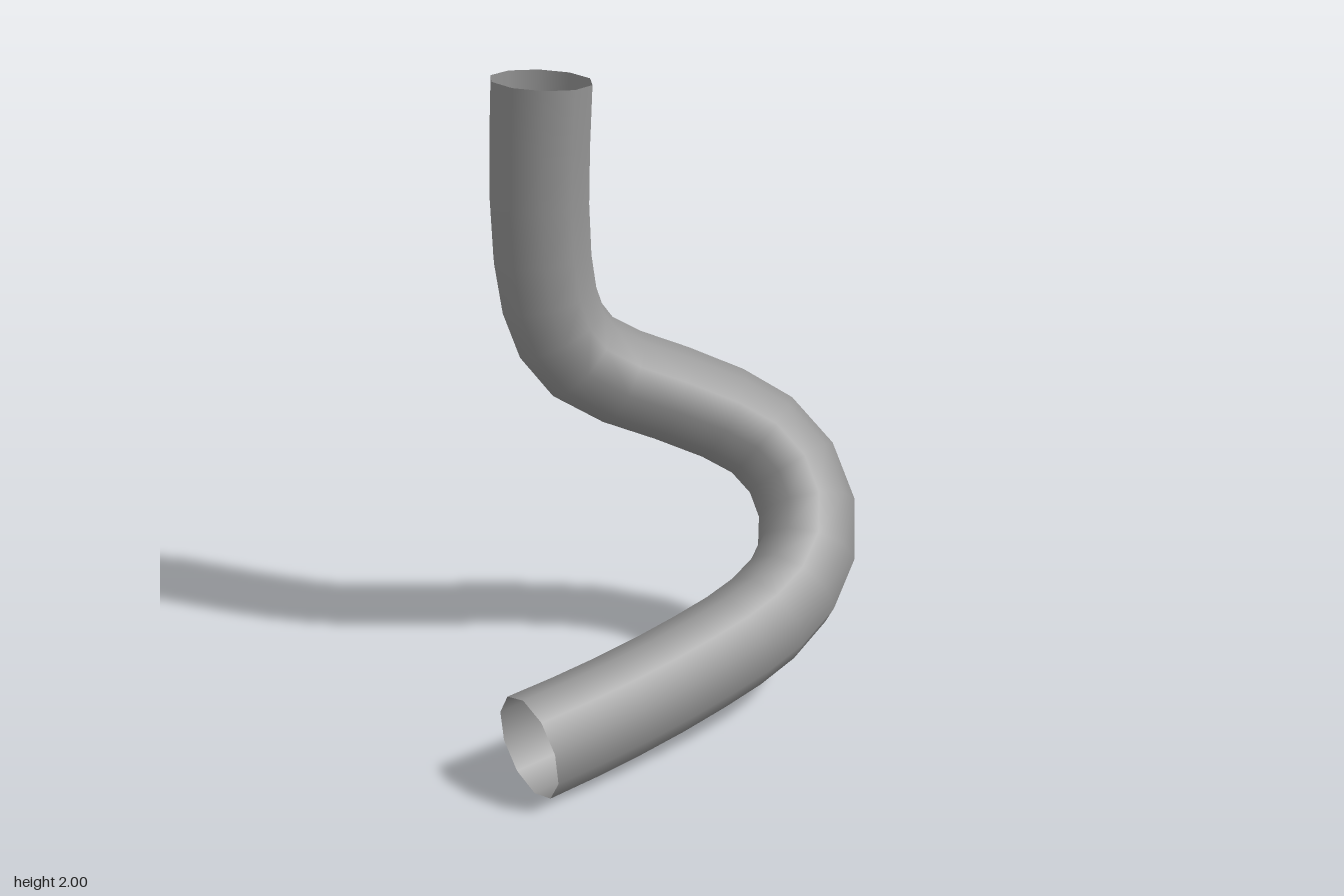
import * as THREE from 'three';

export function createModel() {
  const model = new THREE.Group();

  // Centreline of the bent pipe, from the lower open end to the upper one
  const path = new THREE.CatmullRomCurve3([
    [-0.605, 0.165, 0.455], [-0.45, 0.18, 0.4], [-0.3, 0.197, 0.343],
    [-0.15, 0.218, 0.283], [0, 0.244, 0.22], [0.13, 0.27, 0.162],
    [0.25, 0.303, 0.1], [0.367, 0.355, 0.02], [0.458, 0.435, -0.078],
    [0.496, 0.545, -0.185], [0.47, 0.66, -0.275], [0.387, 0.762, -0.345],
    [0.26, 0.84, -0.386], [0.09, 0.918, -0.415], [-0.08, 0.99, -0.427],
    [-0.21, 1.07, -0.436], [-0.28, 1.165, -0.442], [-0.317, 1.28, -0.447],
    [-0.335, 1.42, -0.45], [-0.34, 1.6, -0.45], [-0.335, 1.79, -0.446],
    [-0.325, 1.988, -0.44],
  ].map((p) => new THREE.Vector3(...p)));

  // Place one ring of the tube at every centreline point
  path.getPointAt = path.getPoint;
  path.getTangentAt = path.getTangent;

  // Ten-sided, smooth-shaded pipe with both ends open
  const pipe = new THREE.Mesh(
    new THREE.TubeGeometry(path, path.points.length - 1, 0.164, 10, false),
    new THREE.MeshStandardMaterial({ color: 0x979797, side: THREE.DoubleSide }),
  );
  pipe.name = 'bentPipe';
  model.add(pipe);
  return model;
}
